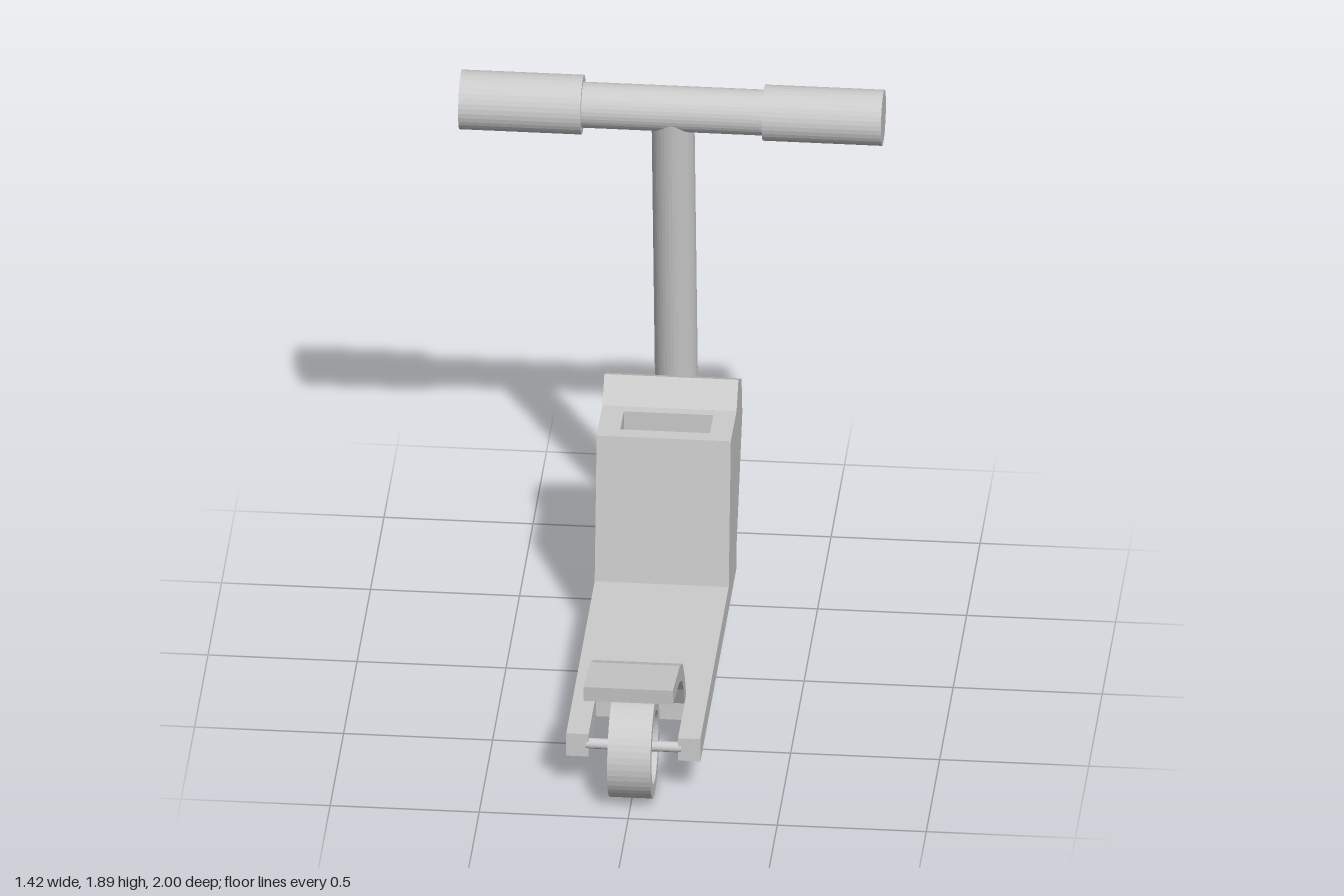
import * as THREE from 'three';

const material = new THREE.MeshStandardMaterial({ color: 0xcccccc, flatShading: true });

function add(parent, name, geometry, x = 0, y = 0, z = 0) {
  const mesh = new THREE.Mesh(geometry, material);
  mesh.name = name;
  mesh.position.set(x, y, z);
  parent.add(mesh);
  return mesh;
}

const shapeOf = (points) => new THREE.Shape(points.map(([a, b]) => new THREE.Vector2(a, b)));

// Extrudes a side profile given as (z, y) across x, centred on x = 0
function sideExtrude(shape, width, curveSegments = 24) {
  const g = new THREE.ExtrudeGeometry(shape, { depth: width, bevelEnabled: false, curveSegments });
  g.translate(0, 0, -width / 2);
  return g.rotateY(-Math.PI / 2);
}

// Cylinder lying along x
const rod = (radius, length) => new THREE.CylinderGeometry(radius, radius, length, 36).rotateZ(Math.PI / 2);

function makeWheel(name, z) {
  const wheel = new THREE.Group();
  wheel.name = name;
  wheel.position.set(0, 0.172, z);
  const ring = new THREE.Shape().absarc(0, 0, 0.172, 0, Math.PI * 2);
  ring.holes.push(new THREE.Path().absarc(0, 0, 0.125, 0, Math.PI * 2, true));
  add(wheel, 'tyre', sideExtrude(ring, 0.145));
  // Two crossing bars make the four spokes
  for (let i = 0; i < 2; i++) {
    const bar = add(wheel, 'spokes', new THREE.BoxGeometry(0.11 - i * 0.002, 0.26, 0.06));
    bar.rotation.x = 0.36 + i * Math.PI / 2;
  }
  return wheel;
}

export function createModel() {
  const model = new THREE.Group();
  model.name = 'scooter';

  // Deck with a slot for the rear wheel
  const deckShape = shapeOf([
    [-0.225, -0.81], [-0.15, -0.81], [-0.15, -0.53], [0.15, -0.53],
    [0.15, -0.81], [0.225, -0.81], [0.225, 0.535], [-0.225, 0.535],
  ]);
  const deck = new THREE.ExtrudeGeometry(deckShape, { depth: 0.085, bevelEnabled: false });
  add(model, 'deck', deck.rotateX(-Math.PI / 2), 0, 0.125, 0);

  // Rear mudguard
  add(model, 'rearFender', sideExtrude(shapeOf([
    [1, 0.495], [0.745, 0.45], [0.63, 0.395], [0.55, 0.295], [0.505, 0.205],
    [0.56, 0.205], [0.6, 0.28], [0.655, 0.345], [0.76, 0.395], [0.995, 0.44],
  ]), 0.3));

  // Storage box: two cheeks and a core with an open pocket
  const front = [[-0.245, 0.21], [-0.32, 0.725]];
  const back = [[-0.535, 0.722], [-0.605, 0.803], [-0.72, 0.745], [-0.75, 0.6], [-0.535, 0.21]];
  const pocket = [[-0.37, 0.725], [-0.37, 0.45], [-0.5, 0.45], [-0.5, 0.722]];
  for (const side of [-1, 1]) {
    add(model, 'boxCheek', sideExtrude(shapeOf([...front, ...back]), 0.075), side * 0.1875);
  }
  add(model, 'boxCore', sideExtrude(shapeOf([...front, ...pocket, ...back]), 0.3));

  // Wheels and axles
  model.add(makeWheel('rearWheel', 0.81), makeWheel('frontWheel', -0.828));
  add(model, 'rearAxle', rod(0.018, 0.32), 0, 0.168, 0.795);

  // One-sided fork joining the stem to the front wheel
  const fork = sideFork();
  add(model, 'fork', fork, 0, 0, -0.858);

  // Leaning stem
  const foot = new THREE.Vector3(0, 0.418, -0.825);
  const head = new THREE.Vector3(0, 1.795, -0.662);
  const lean = head.clone().sub(foot);
  const stem = add(model, 'stem', new THREE.CylinderGeometry(0.072, 0.072, lean.length(), 36));
  stem.position.copy(foot).add(head).multiplyScalar(0.5);
  stem.quaternion.setFromUnitVectors(new THREE.Vector3(0, 1, 0), lean.normalize());

  // Handlebar with two slightly different grips
  add(model, 'handlebar', rod(0.077, 0.64), 0, 1.795, -0.664);
  add(model, 'rightGrip', rod(0.1, 0.41), -0.507, 1.795, -0.664);
  add(model, 'leftGrip', rod(0.094, 0.4), 0.506, 1.795, -0.664);

  return model;
}

// C-shaped fork outline in x and y, 0.05 thick along z
function sideFork() {
  const outline = shapeOf([
    [0.03, 0.45], [-0.03, 0.45], [-0.03, 0.425], [-0.185, 0.425], [-0.185, 0.145], [0.03, 0.145],
    [0.03, 0.2], [-0.11, 0.2], [-0.11, 0.365], [0.03, 0.365],
  ]);
  return new THREE.ExtrudeGeometry(outline, { depth: 0.05, bevelEnabled: false });
}
